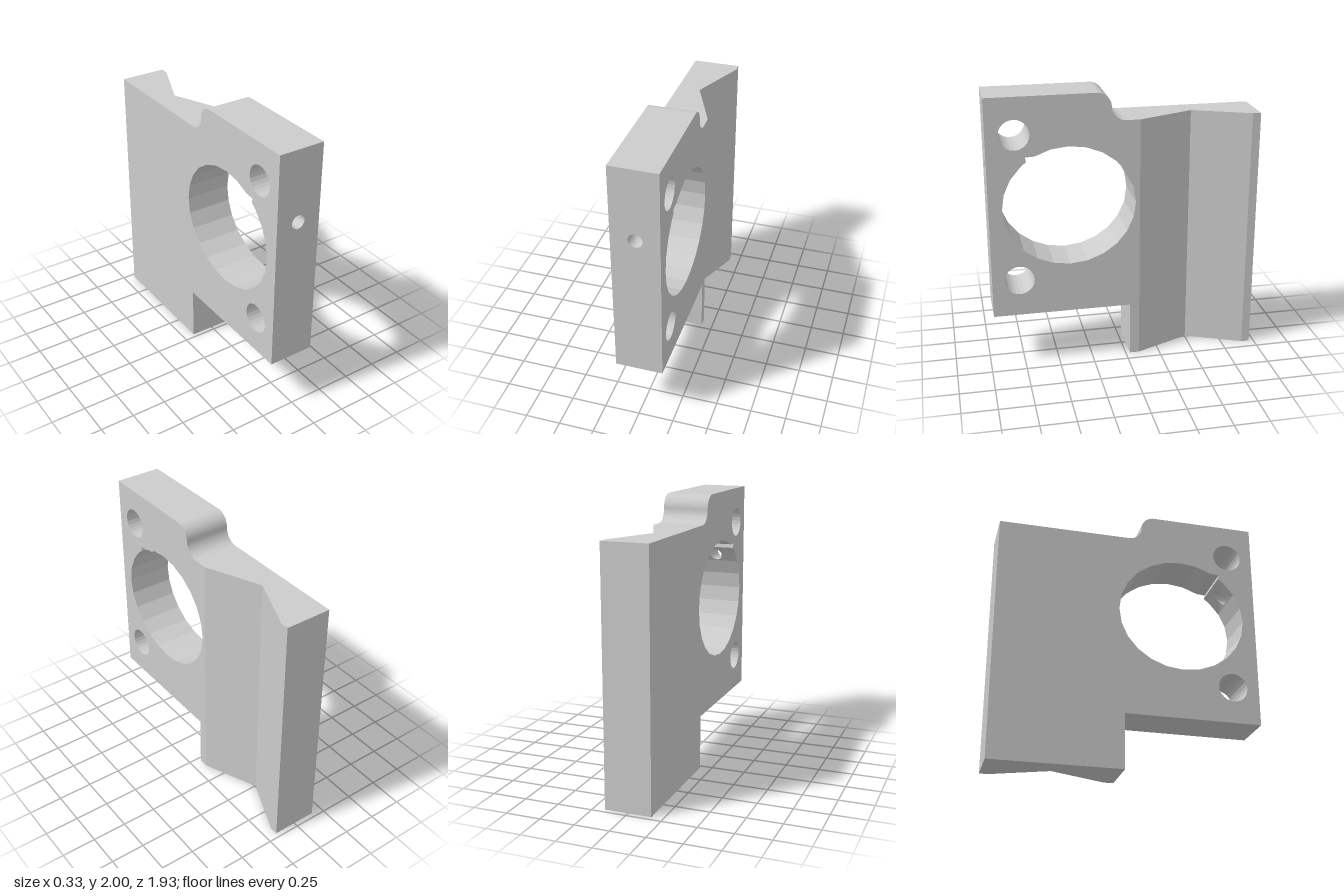
import * as THREE from 'three';

const W = 0.167;                                   // half thickness
const ZF = 0.965;                                  // front / back extent
const EYE = { z: 0.4, y: 1.204, rz: 0.471, ry: 0.435 };
const BORE = { y: 1.48, r: 0.05, lo: EYE.y + EYE.ry * 0.5, hi: 1.545 };

const eyePoint = (deg) => {
  const a = THREE.MathUtils.degToRad(deg);
  return [EYE.z + EYE.rz * Math.cos(a), EYE.y + EYE.ry * Math.sin(a)];
};
const eyeFrontZ = (y) => EYE.z + EYE.rz * Math.sqrt(1 - ((y - EYE.y) / EYE.ry) ** 2);

const circle = (x, y, r) => new THREE.Path().absarc(x, y, r, 0, Math.PI * 2, true);
const extrude = (shape, depth) =>
  new THREE.ExtrudeGeometry(shape, { depth, bevelEnabled: false, curveSegments: 12 });

// Side plate, drawn in (z, y): large eye, two bolt holes, gap for the bore block
function plateGeometry() {
  const s = new THREE.Shape();
  s.moveTo(ZF, BORE.hi);
  s.lineTo(ZF, 2);
  s.lineTo(0.2, 2);
  s.absarc(0.2, 1.9, 0.1, Math.PI / 2, Math.PI, false);
  s.absarc(0, 1.9, 0.1, 0, -Math.PI / 2, true);
  for (const p of [[-0.1, 1.8], [-0.1, 0], [-0.03, 0], [-0.03, 0.4], [ZF, 0.4], [ZF, BORE.lo]]) s.lineTo(...p);
  // around the eye, then its small corner notch
  for (let deg = 30; deg >= -300; deg -= 15) s.lineTo(...eyePoint(deg));
  s.lineTo(0.7, 1.577);
  s.lineTo(eyeFrontZ(BORE.hi), BORE.hi);
  for (const y of [1.737, 0.669]) s.holes.push(circle(0.77, y, 0.107));
  return extrude(s, 2 * W).rotateY(-Math.PI / 2).translate(W, 0, 0);
}

// Block with the set-screw bore, its inner end bent to follow the eye
function boreGeometry() {
  const mid = eyePoint(45)[1];
  const s = new THREE.Shape([
    [-W, BORE.lo], [W, BORE.lo], [W, mid], [W, BORE.hi], [-W, BORE.hi], [-W, mid],
  ].map((p) => new THREE.Vector2(...p)));
  s.holes.push(circle(0, BORE.y, BORE.r));
  const g = extrude(s, 1);
  const pos = g.attributes.position;
  for (let i = 0; i < pos.count; i++) pos.setZ(i, pos.getZ(i) > 0.5 ? ZF : eyeFrontZ(pos.getY(i)));
  g.computeVertexNormals();
  return g;
}

// Upright rail with the V groove, drawn in (x, -z)
function railGeometry() {
  const s = new THREE.Shape([
    [-W, 0.1], [W, 0.1], [-0.005, 0.503], [W, 0.905], [W, ZF], [-W, ZF],
  ].map((p) => new THREE.Vector2(...p)));
  return extrude(s, 1.8).rotateX(-Math.PI / 2);
}

export function createModel() {
  const group = new THREE.Group();
  group.name = 'clampBracket';
  const material = new THREE.MeshStandardMaterial({ color: 0xcccccc, flatShading: true });
  const parts = { sidePlate: plateGeometry(), setScrewBlock: boreGeometry(), grooveRail: railGeometry() };
  for (const [name, geometry] of Object.entries(parts)) {
    const mesh = new THREE.Mesh(geometry, material);
    mesh.name = name;
    group.add(mesh);
  }
  return group;
}
